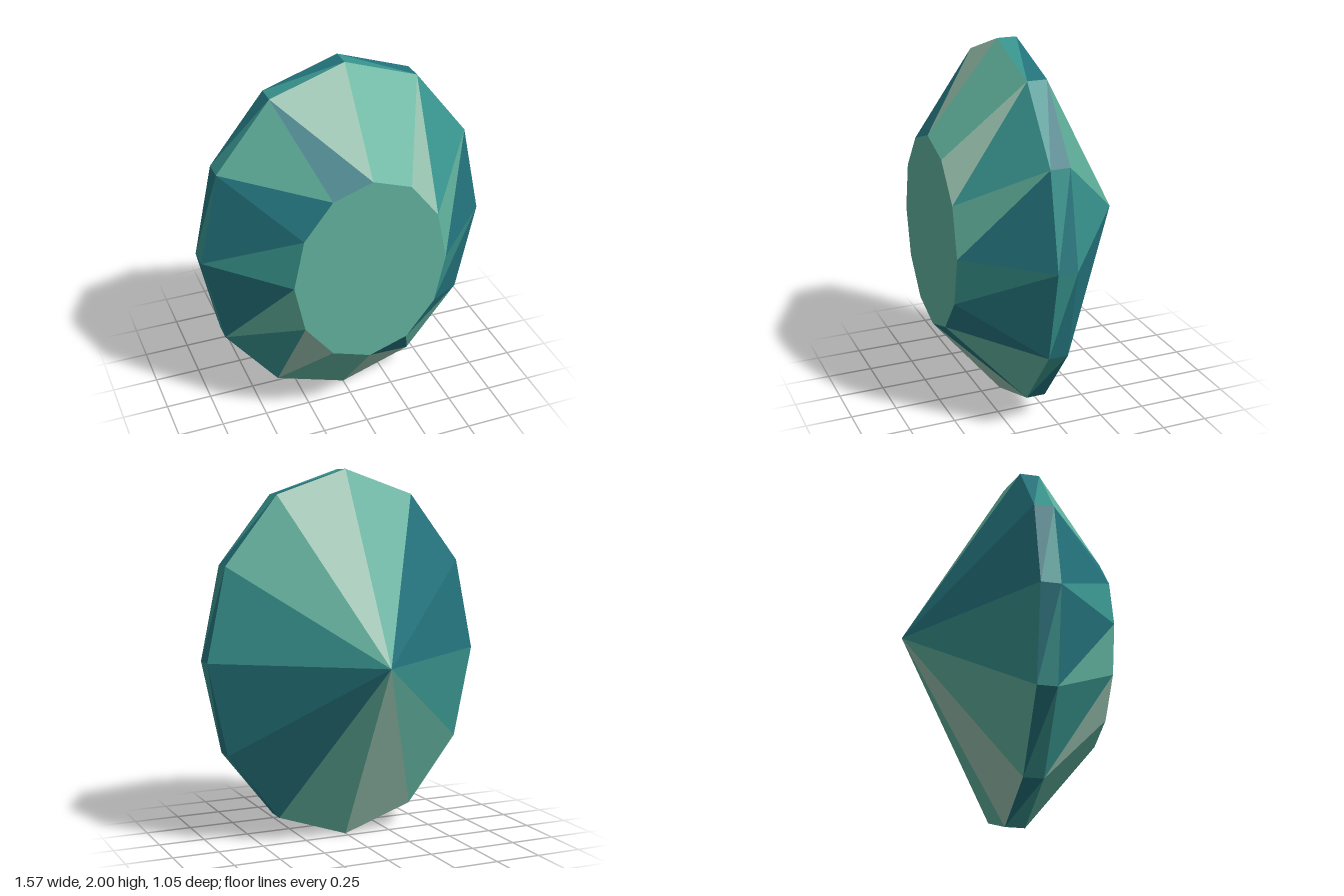
import * as THREE from 'three';

const makeMaterial = (name, color) => {
  const m = new THREE.MeshStandardMaterial({ color });
  m.name = name;
  return m;
};

const SIDES = 12;

// Twelve-sided oval outline in the xy plane, starting at the top and running towards +x
function ring(rx, ry, z) {
  return Array.from({ length: SIDES }, (_, i) => {
    const a = (i / SIDES) * Math.PI * 2;
    return new THREE.Vector3(rx * Math.sin(a), 1 + ry * Math.cos(a), z);
  });
}

// Mesh of flat triangular facets, sorted into one geometry group per material
function facetMesh(name, facets) {
  const materials = [...new Set(facets.map((f) => f.material))];
  const points = [];
  const geometry = new THREE.BufferGeometry();
  const centre = new THREE.Vector3(0, 1, 0);
  materials.forEach((material, index) => {
    const start = points.length;
    for (const f of facets.filter((g) => g.material === material)) {
      const [a, b, c] = f.corners;
      const normal = b.clone().sub(a).cross(c.clone().sub(a));
      const outward = normal.dot(a.clone().sub(centre)) > 0;
      points.push(...(outward ? [a, b, c] : [a, c, b]));
    }
    geometry.addGroup(start, points.length - start, index);
  });
  geometry.setFromPoints(points);
  geometry.computeVertexNormals();
  const mesh = new THREE.Mesh(geometry, materials);
  mesh.name = name;
  return mesh;
}

export function createModel() {
  const pale = makeMaterial('pale sage', 0x98c2af);
  const green = makeMaterial('sea green', 0x60b09c);
  const teal = makeMaterial('teal', 0x38938d);
  const blue = makeMaterial('deep blue teal', 0x24737c);

  const table = ring(0.415, 0.53, 0.525);
  const front = ring(0.785, 1, 0.14);
  const back = ring(0.785, 1, 0.035);
  const culet = new THREE.Vector3(0, 1, -0.525);
  const tableCentre = new THREE.Vector3(0, 1, 0.525);

  // Colour patterns repeat twice around the stone; crown pairs are [inner, outer]
  const crownColours = [
    [green, green], [pale, teal], [green, blue],
    [teal, blue], [blue, green], [blue, pale],
  ];
  const pavilionColours = [pale, green, teal, blue, blue, green];

  const parts = { table: [], crown: [], girdle: [], pavilion: [] };
  for (let i = 0; i < SIDES; i++) {
    const j = (i + 1) % SIDES;
    const add = (part, material, ...corners) => parts[part].push({ material, corners });
    const [inner, outer] = crownColours[i % 6];
    // Flat face on the front
    add('table', green, tableCentre, table[i], table[j]);
    // Sloping crown, each side split along a diagonal
    add('crown', inner, front[i], table[i], table[j]);
    add('crown', outer, front[i], front[j], table[j]);
    // Narrow band around the rim
    add('girdle', teal, back[i], front[i], front[j]);
    add('girdle', blue, back[i], back[j], front[j]);
    // Cone of facets meeting in the rear point
    add('pavilion', pavilionColours[i % 6], back[i], back[j], culet);
  }

  const gem = new THREE.Group();
  gem.name = 'gem';
  for (const [name, facets] of Object.entries(parts)) gem.add(facetMesh(name, facets));
  return gem;
}
